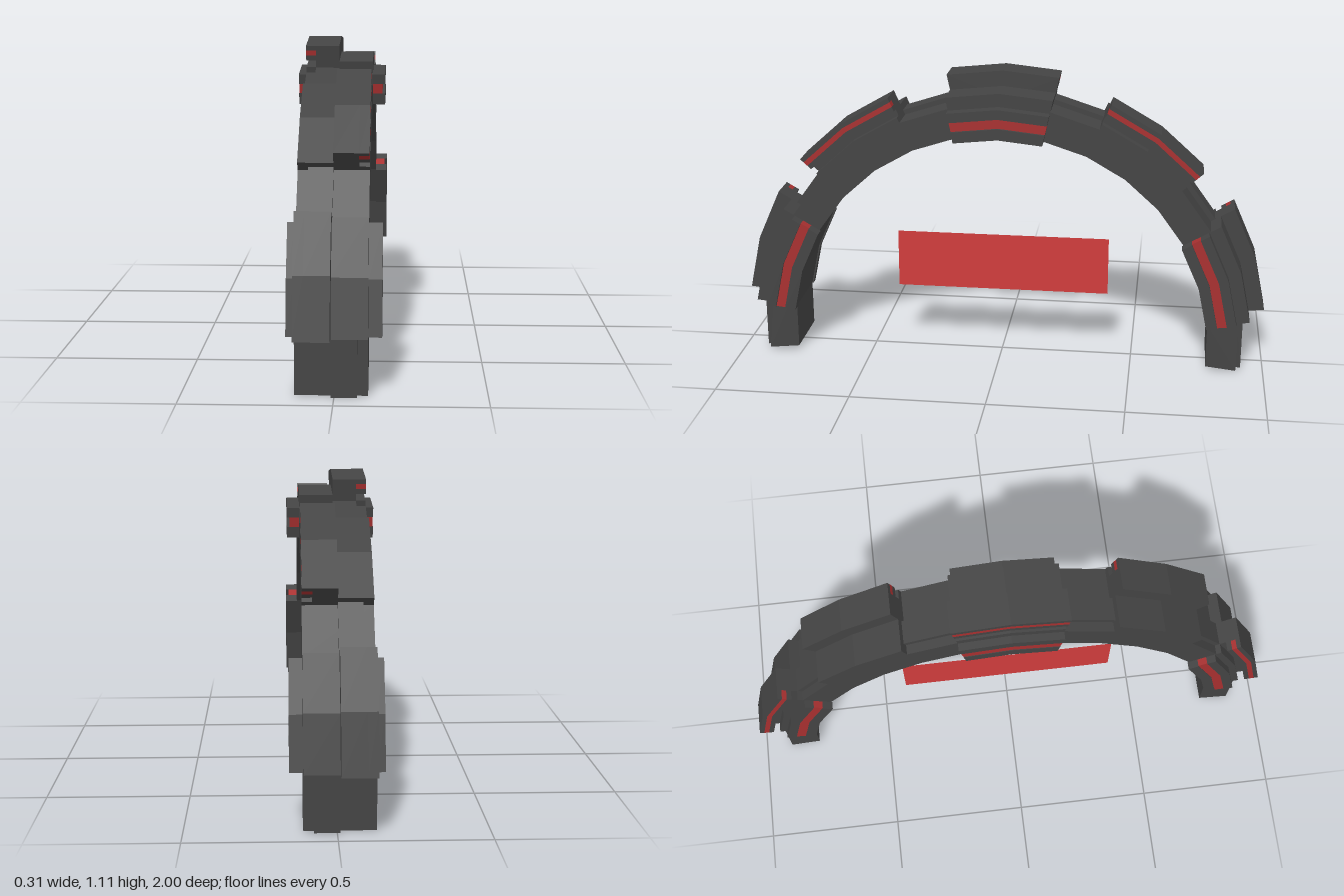
import * as THREE from 'three';

const GREY = new THREE.MeshStandardMaterial({ color: 0x444444, flatShading: true });
const RED = new THREE.MeshStandardMaterial({ color: 0xa83030, flatShading: true });
const CENTRE_Y = 0.102, STEP = 12;
const MID = -0.01; // the plane where the two halves of the arch meet

// Faceted arc block between two radii, two x positions and two angles (degrees)
function arc(parent, name, r0, r1, x0, x1, a0, a1, material = GREY) {
  const angles = [a0];
  for (let a = 6; a < 180; a += STEP) if (a > a0 && a < a1) angles.push(a);
  angles.push(a1);
  const point = (r, a) => {
    const t = THREE.MathUtils.degToRad(a);
    return new THREE.Vector2(r * Math.cos(t), r * Math.sin(t));
  };
  const outline = angles.map(a => point(r1, a)).concat(angles.slice().reverse().map(a => point(r0, a)));
  const geometry = new THREE.ExtrudeGeometry(new THREE.Shape(outline), { depth: Math.abs(x1 - x0), bevelEnabled: false });
  geometry.rotateY(Math.PI / 2);
  geometry.translate(Math.min(x0, x1), CENTRE_Y, 0);
  const mesh = new THREE.Mesh(geometry, material);
  mesh.name = name;
  parent.add(mesh);
}

// Tall plate on one half (side -1 or 1), with a layered strip along its outer edge
function tallPlate(parent, side, a0, a1) {
  const inner = MID + side * 0.085, outer = MID + side * 0.12;
  arc(parent, 'tallPlate', 0.9, 1.005, MID, inner, a0, a1);
  arc(parent, 'tallPlateUpperLip', 0.988, 1.005, inner, outer, a0, a1);
  arc(parent, 'tallPlateLight', 0.969, 0.988, inner, outer, a0, a1, RED);
  arc(parent, 'tallPlateLowerLip', 0.95, 0.969, inner, outer, a0, a1);
  arc(parent, 'tallPlateLedge', 0.9, 0.925, inner, outer, a0, a1);
}

// Side plate on one face: two grey bands with a recessed light between them
function sidePlate(parent, face, outer, light, a0, a1) {
  arc(parent, 'sidePlateInnerBand', 0.785, 0.826, face, outer, a0, a1);
  arc(parent, 'sidePlateLight', 0.826, 0.862, face, light, a0, a1, RED);
  arc(parent, 'sidePlateOuterBand', 0.862, 0.898, face, outer, a0, a1);
}

export function createModel() {
  const model = new THREE.Group();
  model.name = 'archGate';

  // Main arch
  arc(model, 'arch', 0.79, 0.904, -0.13, 0.11, -6.3, 186.3);

  // Raised ribs on the bare stretches
  for (const [a0, a1] of [[-6.3, 6], [174, 186.3]])
    arc(model, 'footRib', 0.9, 0.923, MID, 0.075, a0, a1);
  for (const a of [30, 66, 102, 138])
    arc(model, 'rib', 0.9, 0.923, -0.095, MID, a, a + STEP);

  // Five plate groups, the tall plate alternating between the halves
  [18, 54, 90, 126, 162].forEach((mid, i) => {
    const group = new THREE.Group();
    group.name = 'plateGroup';
    const side = i % 2 ? 1 : -1, a0 = mid - STEP, a1 = mid + STEP;
    tallPlate(group, side, a0, a1);
    arc(group, 'lowPlate', 0.9, 0.947, MID, MID - side * 0.12, a0, a1);
    if (side < 0) {
      sidePlate(group, 0.11, 0.155, 0.145, a0, a1);
      sidePlate(group, -0.13, -0.158, -0.156, a0, a1);
    }
    model.add(group);
  });

  // Flat red panel hanging inside the arch
  const panel = new THREE.Mesh(
    new THREE.PlaneGeometry(0.81, 0.222),
    new THREE.MeshStandardMaterial({ color: 0xd03c3c, side: THREE.DoubleSide })
  );
  panel.name = 'panel';
  panel.rotation.y = Math.PI / 2;
  panel.position.set(MID, 0.354, 0);
  model.add(panel);

  return model;
}
